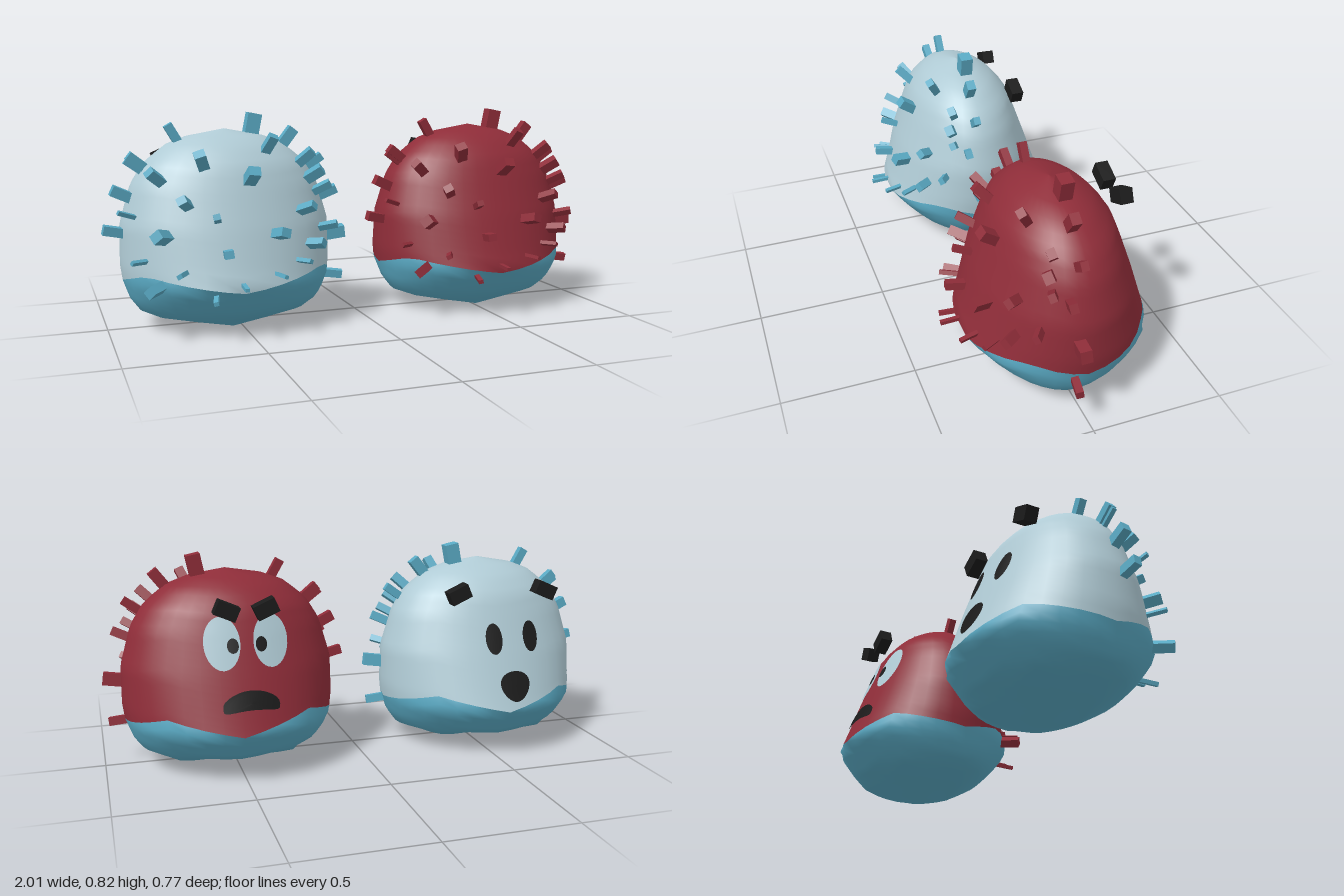
import * as THREE from 'three';

const mat = (name, color) => Object.assign(new THREE.MeshStandardMaterial({ color }), { name });

// Body profile rows: y, front z, back z, half width, centre z
const PROFILE = [
  [0, 0.1, 0.1, 0, 0.1], [0.035, 0.16, -0.03, 0.2, 0.06], [0.062, 0.215, -0.26, 0.335, 0.01],
  [0.12, 0.275, -0.315, 0.378, 0], [0.19, 0.333, -0.378, 0.402, -0.01], [0.25, 0.312, -0.355, 0.41, -0.01],
  [0.4, 0.27, -0.302, 0.408, -0.01], [0.55, 0.218, -0.247, 0.365, -0.01], [0.63, 0.186, -0.216, 0.315, -0.01],
  [0.7, 0.125, -0.155, 0.23, -0.01], [0.74, 0.06, -0.08, 0.125, -0.01], [0.758, -0.01, -0.01, 0, -0.01],
];
const TOP = 0.758;

function section(y) {
  let i = 0;
  while (i < PROFILE.length - 2 && PROFILE[i + 1][0] < y) i++;
  const a = PROFILE[i], b = PROFILE[i + 1];
  const t = THREE.MathUtils.clamp((y - a[0]) / (b[0] - a[0]), 0, 1);
  return a.map((v, k) => v + (b[k] - v) * t);
}

// Point on the body; angle 0 is +z, 90 degrees is +x
function surface(angle, y) {
  const [, front, back, w, cz] = section(y);
  const c = Math.cos(angle);
  return new THREE.Vector3(w * Math.sin(angle), y, cz + c * (c > 0 ? front - cz : cz - back));
}

// Point on the body found from x and y, on the +z or -z side
function project(x, y, side) {
  const s = THREE.MathUtils.clamp(x / section(y)[3], -0.99, 0.99);
  return surface(side > 0 ? Math.asin(s) : Math.PI - Math.asin(s), y);
}

const normalAt = (p) => new THREE.Vector3(p.x / 0.168, (p.y - 0.25) / 0.25, p.z / 0.115).normalize();

// Wavy border between the two body colours
const RIM = [[0, 0.175], [55, 0.235], [90, 0.19], [115, 0.215], [140, 0.25], [180, 0.19]];
function rim(angle) {
  let d = THREE.MathUtils.radToDeg(angle) % 360;
  if (d > 180) d = 360 - d;
  let i = 0;
  while (i < RIM.length - 2 && RIM[i + 1][0] < d) i++;
  const [a, b] = [RIM[i], RIM[i + 1]];
  return a[1] + (b[1] - a[1]) * (d - a[0]) / (b[0] - a[0]);
}

function geometry(pos, index) {
  const g = new THREE.BufferGeometry();
  g.setAttribute('position', new THREE.Float32BufferAttribute(pos, 3));
  g.setIndex(index);
  g.computeVertexNormals();
  return g;
}

// Closed shell between two heights that may depend on the angle
function shell(low, high, rows, segs = 36) {
  const pos = [], index = [];
  for (let i = 0; i <= rows; i++) {
    for (let j = 0; j < segs; j++) {
      const a = j / segs * Math.PI * 2;
      pos.push(...surface(a, THREE.MathUtils.lerp(low(a), high(a), i / rows)).toArray());
      if (i === rows) continue;
      const p = i * segs + j, q = i * segs + (j + 1) % segs;
      index.push(p, q, p + segs, q, q + segs, p + segs);
    }
  }
  return geometry(pos, index);
}

// Thin painted patch following the face side of the body
function patch(cx, cy, outline, lift) {
  const pos = [], index = [], segs = 28, rings = 4;
  for (let r = 0; r <= rings; r++) {
    for (let j = 0; j < segs; j++) {
      const [u, v] = outline(j / segs * Math.PI * 2);
      const p = project(cx + u * r / rings, cy + v * r / rings, -1);
      pos.push(...p.addScaledVector(normalAt(p), lift).toArray());
      if (r === rings) continue;
      const a = r * segs + j, b = r * segs + (j + 1) % segs;
      index.push(a, b, a + segs, b, b + segs, a + segs);
    }
  }
  return geometry(pos, index);
}

const oval = (rx, ry) => (a) => [rx * Math.cos(a), ry * Math.sin(a)];
const openMouth = (a) => [0.062 * Math.cos(a) * (1 + 0.2 * Math.sin(a)), 0.057 * Math.sin(a)];
const frown = (a) => {
  const c = Math.cos(a), s = Math.sin(a);
  return [0.105 * c, 0.034 * Math.sign(s) * Math.abs(s) ** 0.6 + 0.012 - 0.025 * c * c];
};

// Spikes: x, y, thickness
const SPIKES = [
  [-0.22, 0.74, 0.034], [-0.125, 0.65, 0.042], [0.05, 0.59, 0.045], [0.14, 0.7, 0.036], [0.265, 0.72, 0.042],
  [-0.35, 0.64, 0.036], [-0.285, 0.59, 0.038], [-0.37, 0.62, 0.02], [-0.42, 0.52, 0.04], [-0.385, 0.45, 0.016],
  [-0.43, 0.38, 0.036], [-0.195, 0.5, 0.036], [-0.09, 0.445, 0.026], [-0.28, 0.38, 0.044], [-0.06, 0.32, 0.034],
  [0.14, 0.38, 0.04], [0.26, 0.46, 0.034], [0.29, 0.645, 0.036], [0.32, 0.58, 0.04], [0.365, 0.62, 0.032],
  [0.35, 0.525, 0.03], [0.39, 0.5, 0.034], [0.29, 0.325, 0.034], [0.36, 0.38, 0.026], [0.435, 0.33, 0.048],
  [0.42, 0.16, 0.032], [-0.11, 0.155, 0.018], [-0.31, 0.19, 0.04], [-0.22, 0.25, 0.02], [-0.01, 0.2, 0.016],
  [0.23, 0.27, 0.018], [0.13, 0.23, 0.016], [-0.355, 0.285, 0.016],
];

function addMesh(group, name, geo, material) {
  const m = new THREE.Mesh(geo, material);
  m.name = name;
  group.add(m);
  return m;
}

function creature(name, upper, lower, spikeMat) {
  const g = new THREE.Group();
  g.name = name;
  addMesh(g, 'upperBody', shell(rim, () => TOP, 20), upper);
  addMesh(g, 'belly', shell(() => 0, rim, 8), lower);

  const up = new THREE.Vector3(0, 1, 0);
  SPIKES.forEach(([x, y, t]) => {
    const p = project(x * 0.94, Math.min(0.35 + (y - 0.35) * 0.94, 0.735), 1);
    const n = normalAt(p);
    const spike = addMesh(g, 'spike', new THREE.BoxGeometry(t, 0.09, t * 0.85), spikeMat);
    spike.quaternion.setFromUnitVectors(up, n);
    spike.position.copy(p).addScaledVector(n, 0.025);
  });
  // Large spike on the crown
  const crown = addMesh(g, 'crownSpike', new THREE.BoxGeometry(0.055, 0.1, 0.05), spikeMat);
  crown.position.set(0.112, 0.765, -0.015);
  crown.rotation.z = -0.2;
  return g;
}

function addBrow(g, x, z, tilt, material) {
  const brow = addMesh(g, 'eyebrow', new THREE.BoxGeometry(0.085, 0.055, 0.05), material);
  brow.position.set(x, 0.643, z);
  brow.rotation.z = tilt;
}

export function createModel() {
  const pale = mat('paleBlue', 0xb0cbd5), teal = mat('teal', 0x5aaac4);
  const red = mat('darkRed', 0x8f2d39), black = mat('black', 0x1b1b1b);
  const model = new THREE.Group();
  model.name = 'spikyPair';

  // Worried creature: narrow eyes, open mouth, brows falling outwards
  const worried = creature('worriedCreature', pale, teal, teal);
  worried.position.x = -0.535;
  for (const s of [-1, 1]) {
    addMesh(worried, 'eye', patch(-0.045 + s * 0.08, 0.465, oval(0.034, 0.058), 0.006), black);
    addBrow(worried, -0.02 + s * 0.185, -0.22, -s * 0.42, black);
  }
  addMesh(worried, 'mouth', patch(-0.035, 0.285, openMouth, 0.006), black);

  // Angry creature: pale eyes with pupils, frown, brows falling inwards
  const angry = creature('angryCreature', red, teal, red);
  angry.position.x = 0.515;
  for (const s of [-1, 1]) {
    const x = -0.035 + s * 0.09;
    addMesh(angry, 'eyeWhite', patch(x, 0.515, oval(0.066, 0.093), 0.005), pale);
    addMesh(angry, 'pupil', patch(x - s * 0.038, 0.505, oval(0.021, 0.026), 0.009), black);
    addBrow(angry, -0.033 + s * 0.072, -0.277, s * 0.42, black);
  }
  addMesh(angry, 'mouth', patch(-0.035, 0.305, frown, 0.006), black);

  model.add(worried, angry);
  return model;
}
